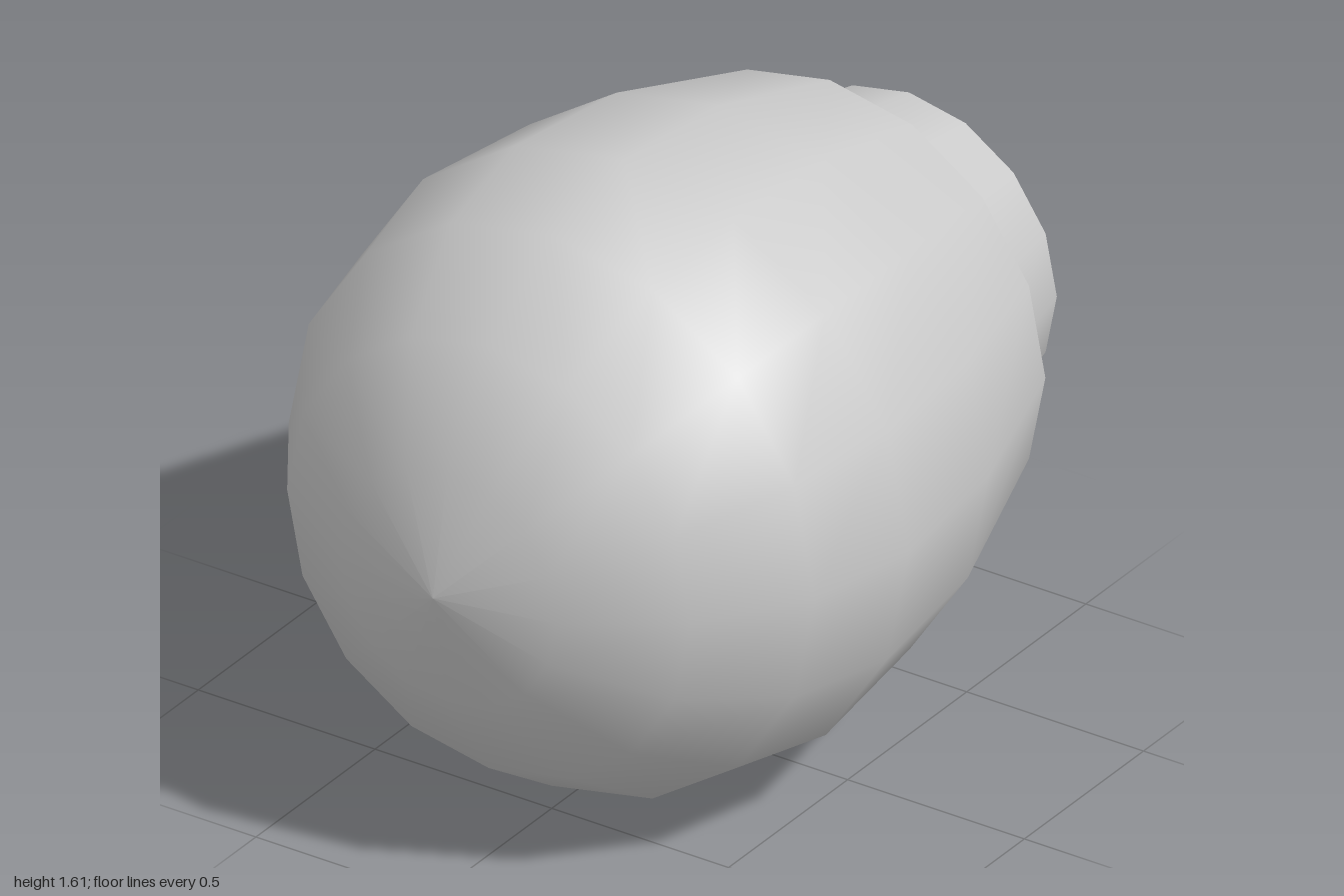
import * as THREE from 'three';

const SIDES = 16;
const CENTRE_Y = 0.805;

// Lathe around the z axis from [radius, z] pairs, listed back to front
function revolve(name, profile) {
  const points = profile.map(([r, z]) => new THREE.Vector2(r, z));
  const geometry = new THREE.LatheGeometry(points, SIDES);
  geometry.rotateX(Math.PI / 2);
  const material = new THREE.MeshStandardMaterial({ color: 0xcccccc, side: THREE.DoubleSide });
  const mesh = new THREE.Mesh(geometry, material);
  mesh.name = name;
  mesh.position.y = CENTRE_Y;
  return mesh;
}

export function createModel() {
  const group = new THREE.Group();
  group.name = 'bulb';

  // Rounded shell with an open rim at the back
  group.add(revolve('shell', [
    [0.61, -0.667],
    [0.76, -0.205],
    [0.805, 0.195],
    [0.744, 0.5],
    [0.57, 0.765],
    [0.308, 0.938],
    [0, 1],
  ]));

  // Open tapered neck, running on inside the shell
  group.add(revolve('neck', [
    [0.418, -1],
    [0.49, -0.667],
    [0.731, 0.45],
  ]));

  return group;
}
